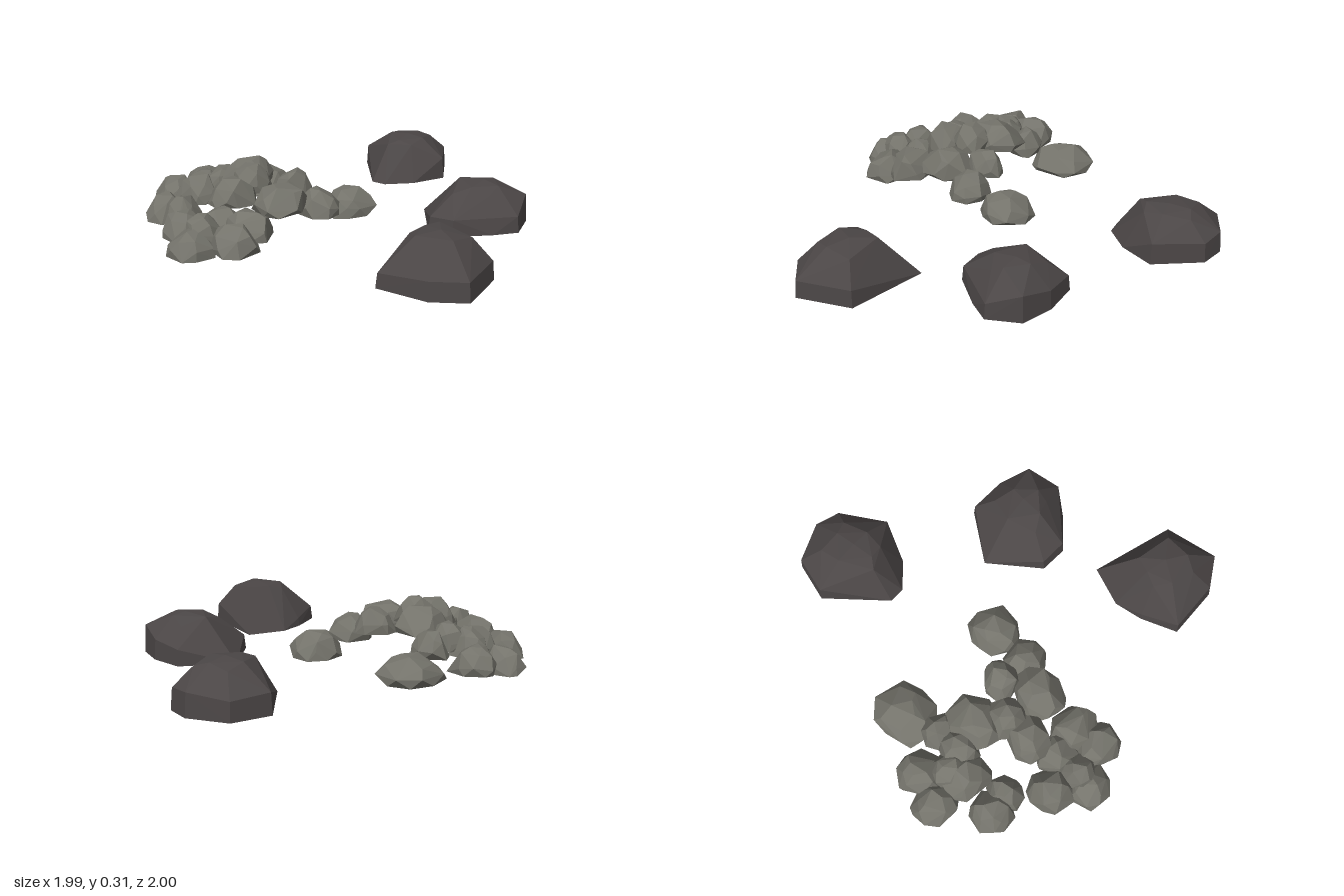
import * as THREE from 'three';
import { ConvexGeometry } from 'three/addons/geometries/ConvexGeometry.js';

const darkStone = new THREE.MeshStandardMaterial({ color: 0x4b4646, side: THREE.DoubleSide });
const greyStone = new THREE.MeshStandardMaterial({ color: 0x74736b, side: THREE.DoubleSide });

// Small seeded generator, so every rock has its own fixed shape
function seeded(seed) {
  let s = seed * 7919 + 17;
  return () => {
    s = (s * 16807) % 2147483647;
    return s / 2147483647;
  };
}

// Faceted shell around the points, left open underneath
function openShell(name, points, floor, material) {
  const geometry = new ConvexGeometry(points);
  const { position, normal } = geometry.attributes;
  const kept = [];
  for (let i = 0; i < position.count; i += 3) {
    const onFloor = [0, 1, 2].every((k) => position.getY(i + k) < floor + 0.001);
    if (!(onFloor && normal.getY(i) < -0.9)) kept.push(i, i + 1, i + 2);
  }
  geometry.setIndex(kept);
  const mesh = new THREE.Mesh(geometry, material);
  mesh.name = name;
  return mesh;
}

// Boulder: ground outline of [x, z, rim height] that steps inwards to a peak
function boulder(name, [px, py, pz], fullness, outline) {
  const points = [new THREE.Vector3(px, py, pz)];
  const addStep = (x, z, inward, y) =>
    points.push(new THREE.Vector3(x + (px - x) * inward, y, z + (pz - z) * inward));
  outline.forEach(([x, z, rim], i) => {
    addStep(x, z, 0, 0);
    if (rim) addStep(x, z, 0.03, rim);
    // Alternating shoulders and crown corners give broad uneven facets
    if (i % 2) addStep(x, z, 0.43, py * fullness);
    else addStep(x, z, 0.6, py * 0.95);
  });
  return openShell(name, points, 0, darkStone);
}

// Irregular stone: wide foot and shrinking rings of jittered points, fitted to its size
function stone([x, z, width, depth, bottom], index) {
  const height = 0.125;
  const rand = seeded(index + 1);
  const turn = rand() * 6;
  const points = [];
  const rings = [[7, 1, 0, 0], [7, 0.96, 0.3, 0.2], [5, 0.74, 0.7, 0.2], [3, 0.4, 0.95, 0.1]];
  for (const [count, radius, level, wobble] of rings) {
    for (let i = 0; i < count; i++) {
      const a = turn + ((i + (rand() - 0.5) * 0.7) / count) * Math.PI * 2 + level;
      const r = radius * (0.86 + rand() * 0.22);
      points.push(new THREE.Vector3(Math.cos(a) * r, level + (rand() - 0.5) * wobble, Math.sin(a) * r));
    }
  }
  const box = new THREE.Box3().setFromPoints(points);
  const size = box.getSize(new THREE.Vector3());
  for (const p of points) {
    p.sub(box.min).divide(size);
    p.set(x + (p.x - 0.5) * width, bottom + p.y * height, z + (p.z - 0.5) * depth);
  }
  return openShell(`stone${index + 1}`, points, bottom, greyStone);
}

// Stones of the heap by area: [x, z, width, depth, bottom]
const OUTLYING = [
  [-0.71, 0.06, 0.28, 0.32, 0.025], [-0.11, 0.025, 0.24, 0.27, 0.03],
  [-0.7, 0.69, 0.22, 0.22, 0.03], [-0.6, 0.67, 0.17, 0.19, 0.04],
];
const LEFT_BANK = [
  [-0.84, 0.335, 0.25, 0.22, 0.045], [-0.88, 0.485, 0.23, 0.2, 0.03], [-0.73, 0.43, 0.19, 0.2, 0.09],
  [-0.7, 0.49, 0.24, 0.2, 0.085], [-0.645, 0.25, 0.2, 0.17, 0.09], [-0.64, 0.38, 0.2, 0.2, 0.11],
];
const CREST = [
  [-0.505, 0.34, 0.24, 0.28, 0.175], [-0.39, 0.425, 0.21, 0.2, 0.185], [-0.36, 0.56, 0.22, 0.23, 0.155],
  [-0.27, 0.25, 0.19, 0.2, 0.14], [-0.11, 0.24, 0.22, 0.2, 0.08], [-0.18, 0.415, 0.25, 0.28, 0.125],
];
const FRONT_BANK = [
  [-0.295, 0.69, 0.22, 0.21, 0.05], [-0.145, 0.655, 0.25, 0.22, 0.065], [-0.425, 0.795, 0.23, 0.23, 0.035],
  [-0.125, 0.77, 0.25, 0.23, 0.035], [-0.28, 0.825, 0.18, 0.17, 0.055], [-0.27, 0.895, 0.22, 0.21, 0.01],
];

export function createModel() {
  const model = new THREE.Group();
  model.name = 'rocks';

  // Three large dark boulders
  model.add(
    boulder('backBoulder', [-0.38, 0.215, -0.74], 0.86, [
      [-0.44, -1, 0.11], [-0.31, -0.98, 0.1], [-0.15, -0.77, 0.11], [-0.21, -0.59, 0],
      [-0.31, -0.47, 0], [-0.39, -0.46, 0], [-0.65, -0.7, 0.1], [-0.62, -0.9, 0.09],
    ]),
    boulder('middleBoulder', [0.42, 0.215, -0.38], 0.78, [
      [0.1, -0.31, 0], [0.24, -0.56, 0.08], [0.42, -0.57, 0.1], [0.58, -0.52, 0.14],
      [0.65, -0.36, 0.08], [0.58, -0.25, 0], [0.45, -0.1, 0.08], [0.31, -0.09, 0.07],
    ]),
    boulder('frontBoulder', [0.73, 0.23, 0.33], 0.86, [
      [0.51, 0.09, 0], [0.91, 0.18, 0.09], [0.99, 0.45, 0.09], [0.85, 0.56, 0.09],
      [0.59, 0.6, 0.07], [0.5, 0.43, 0.04], [0.46, 0.29, 0],
    ]),
  );

  // Heap of small grey stones
  const heap = new THREE.Group();
  heap.name = 'stoneHeap';
  heap.add(...[...OUTLYING, ...LEFT_BANK, ...CREST, ...FRONT_BANK].map(stone));
  model.add(heap);
  return model;
}
